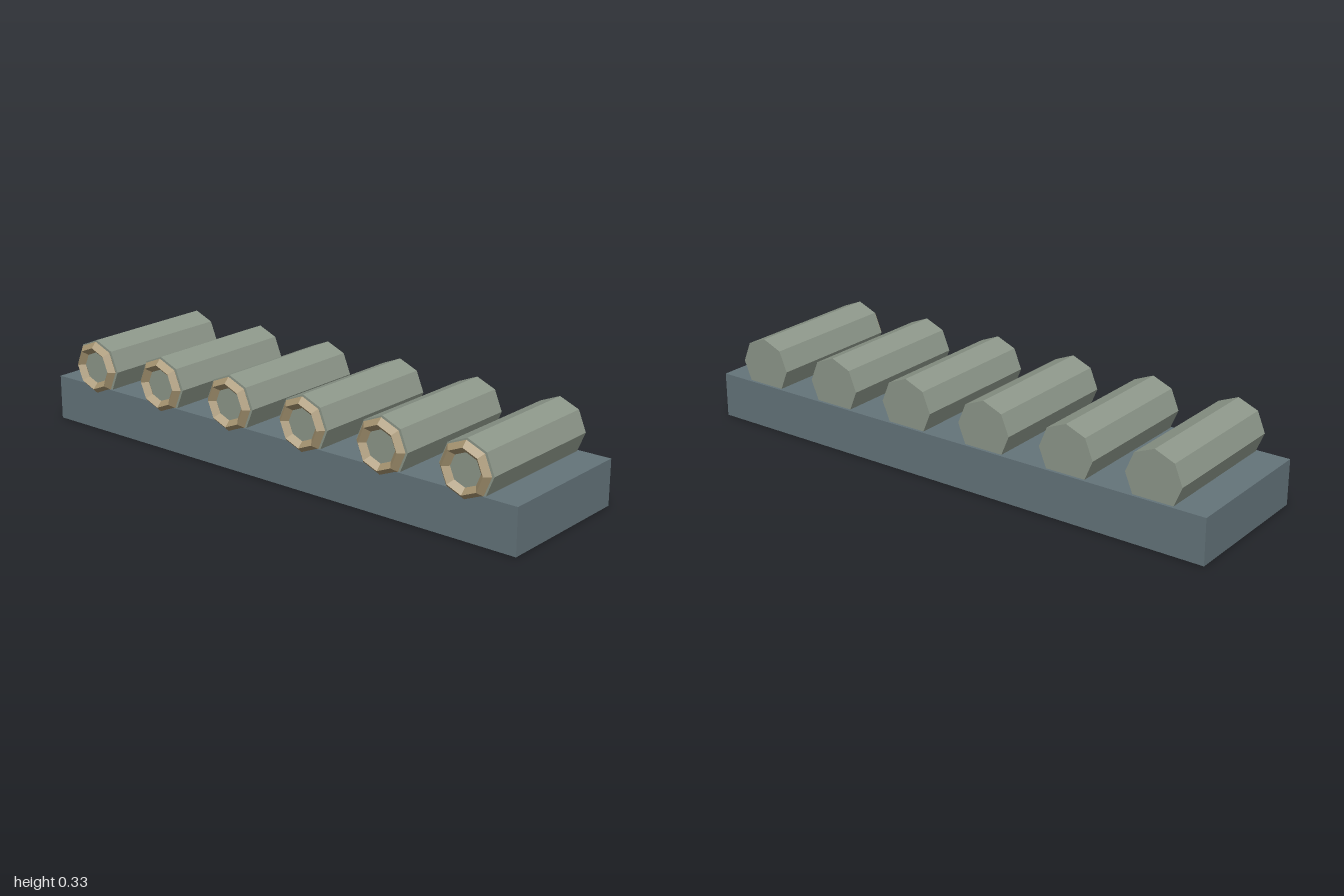
import * as THREE from 'three';

export function createModel() {
  const model = new THREE.Group();
  model.name = 'tubeRack';

  const material = (name, color) => {
    const m = new THREE.MeshStandardMaterial({ color, flatShading: true });
    m.name = name;
    return m;
  };
  const slate = material('slateBlue', 0x64747a);
  const sage = material('sageGrey', 0x8d978a);
  const brass = material('dullBrass', 0xa69471);

  const add = (parent, name, geometry, mat, x, y, z) => {
    const mesh = new THREE.Mesh(geometry, mat);
    mesh.name = name;
    mesh.position.set(x, y, z);
    parent.add(mesh);
  };

  // Base slab
  add(model, 'base', new THREE.BoxGeometry(2, 0.162, 0.536), slate, 0, 0.081, -0.008);

  // Eight-sided tube lying along z, corners on the axes
  const tube = new THREE.CylinderGeometry(0.102, 0.102, 0.518, 8).rotateX(Math.PI / 2);
  // Collar with a diamond cross-section
  const collar = new THREE.TorusGeometry(0.077, 0.02, 4, 8);

  // Row of six tubes, each with a collar on its front end
  for (let i = 0; i < 6; i++) {
    const unit = new THREE.Group();
    unit.name = `tubeUnit${i + 1}`;
    unit.position.set((i - 2.5) * 0.3225, 0.231, 0);
    add(unit, 'tube', tube, sage, 0, 0, -0.007);
    add(unit, 'collar', collar, brass, 0, 0, 0.257);
    model.add(unit);
  }

  return model;
}
